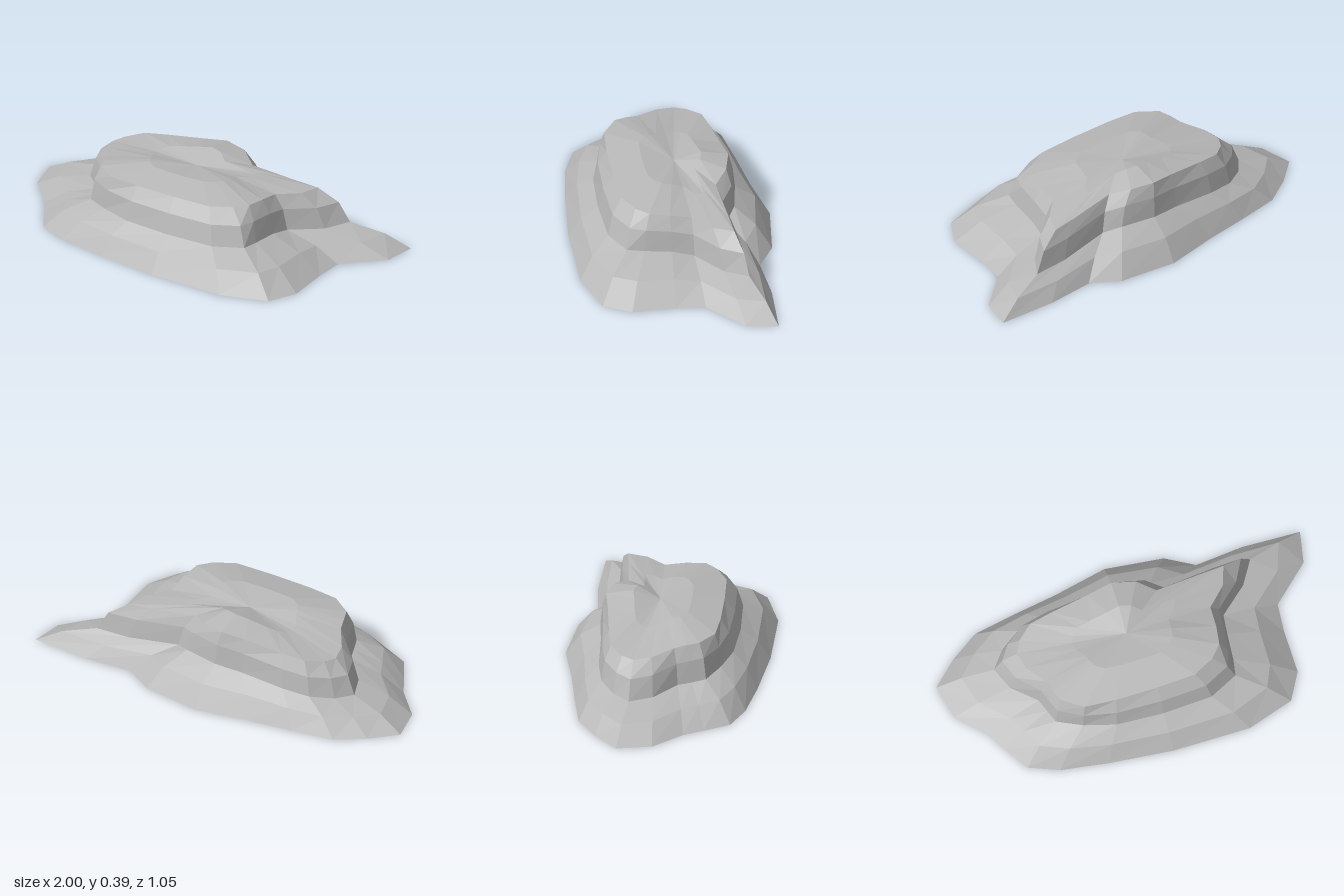
import * as THREE from 'three';

// Outlines run back -> left (+x) -> front -> right; all share the same columns.
// Ground outline: x, z
const GROUND = [
  0.01, -0.53, 0.31, -0.48, 0.45, -0.39, 0.70, -0.40, 1.0, -0.375, 0.96, -0.215,
  0.76, -0.05, 0.74, 0.10, 0.73, 0.32, 0.645, 0.455, 0.40, 0.52, 0, 0.50,
  -0.33, 0.45, -0.57, 0.40, -0.72, 0.33, -0.79, 0.20, -0.84, 0.10, -0.97, -0.05,
  -1.0, -0.23, -0.87, -0.34, -0.72, -0.43, -0.50, -0.46, -0.27, -0.485,
];
// Foot of the cliff: x, y, z
const FOOT = [
  -0.01, 0.18, -0.355, 0.17, 0.18, -0.315, 0.25, 0.15, -0.26, 0.52, 0.12, -0.285,
  0.70, 0.115, -0.285, 0.62, 0.11, -0.17, 0.47, 0.12, -0.05, 0.45, 0.145, 0.06,
  0.43, 0.155, 0.20, 0.41, 0.16, 0.285, 0.26, 0.16, 0.35, 0, 0.16, 0.35,
  -0.24, 0.16, 0.325, -0.40, 0.16, 0.27, -0.52, 0.15, 0.20, -0.54, 0.14, 0.13,
  -0.56, 0.135, 0.06, -0.67, 0.12, -0.06, -0.71, 0.115, -0.18, -0.64, 0.12, -0.26,
  -0.53, 0.135, -0.325, -0.39, 0.15, -0.345, -0.16, 0.17, -0.345,
];
// Rim of the plateau: x, y, z
const RIM = [
  -0.03, 0.365, -0.325, 0.09, 0.36, -0.29, 0.175, 0.33, -0.22, 0.42, 0.30, -0.235,
  0.54, 0.29, -0.24, 0.50, 0.295, -0.14, 0.40, 0.305, -0.05, 0.39, 0.325, 0.06,
  0.37, 0.335, 0.16, 0.31, 0.335, 0.22, 0.20, 0.335, 0.27, 0, 0.335, 0.27,
  -0.22, 0.335, 0.26, -0.38, 0.335, 0.24, -0.48, 0.335, 0.165, -0.50, 0.33, 0.10,
  -0.515, 0.32, 0.04, -0.58, 0.30, -0.07, -0.595, 0.29, -0.16, -0.56, 0.295, -0.22,
  -0.48, 0.31, -0.28, -0.36, 0.325, -0.295, -0.16, 0.35, -0.31,
];

const toPoints = (a) =>
  Array.from({ length: a.length / 3 }, (_, i) => new THREE.Vector3().fromArray(a, i * 3));

// Ring between two others, with separate sideways and height blends
const between = (a, b, side, height) =>
  a.map((p, i) => {
    const q = p.clone().lerp(b[i], side);
    q.y = THREE.MathUtils.lerp(p.y, b[i].y, height);
    return q;
  });

// Flat-faced surface through a list of rings
function loft(name, rings, material) {
  const pos = [];
  const tri = (a, b, c) => {
    if (!a.equals(b) && !b.equals(c) && !a.equals(c)) pos.push(...a, ...b, ...c);
  };
  for (let r = 0; r < rings.length - 1; r++) {
    const low = rings[r], high = rings[r + 1], n = low.length;
    for (let j = 0; j < n; j++) {
      const k = (j + 1) % n;
      tri(low[j], high[j], low[k]);
      tri(high[j], high[k], low[k]);
    }
  }
  const geometry = new THREE.BufferGeometry();
  geometry.setAttribute('position', new THREE.Float32BufferAttribute(pos, 3));
  geometry.computeVertexNormals();
  const mesh = new THREE.Mesh(geometry, material);
  mesh.name = name;
  return mesh;
}

export function createModel() {
  const stone = new THREE.MeshStandardMaterial({ color: 0xb8b8b8 });
  stone.name = 'grey stone';
  stone.flatShading = true;

  const foot = toPoints(FOOT);
  const rim = toPoints(RIM);
  const ground = foot.map((_, i) => new THREE.Vector3(GROUND[2 * i], 0, GROUND[2 * i + 1]));
  const centre = (y) => foot.map(() => new THREE.Vector3(-0.05, y, -0.05));

  // Rounded shoulders of slope and cliff, and the swell around the plateau's dip
  const slopeShoulder = between(ground, foot, 0.43, 0.62);
  const cliffShoulder = between(foot, rim, 0.35, 0.6);
  const swell = between(rim, centre(0.35), 0.5, 0);
  swell.forEach((p) => { p.y = p.y * 0.8 + 0.099; });

  const model = new THREE.Group();
  model.name = 'rockPlateau';
  model.add(
    loft('underside', [centre(0), ground], stone),
    loft('slope', [ground, slopeShoulder, foot], stone),
    loft('cliff', [foot, cliffShoulder, rim], stone),
    loft('plateau', [rim, swell, centre(0.35)], stone),
  );
  return model;
}
